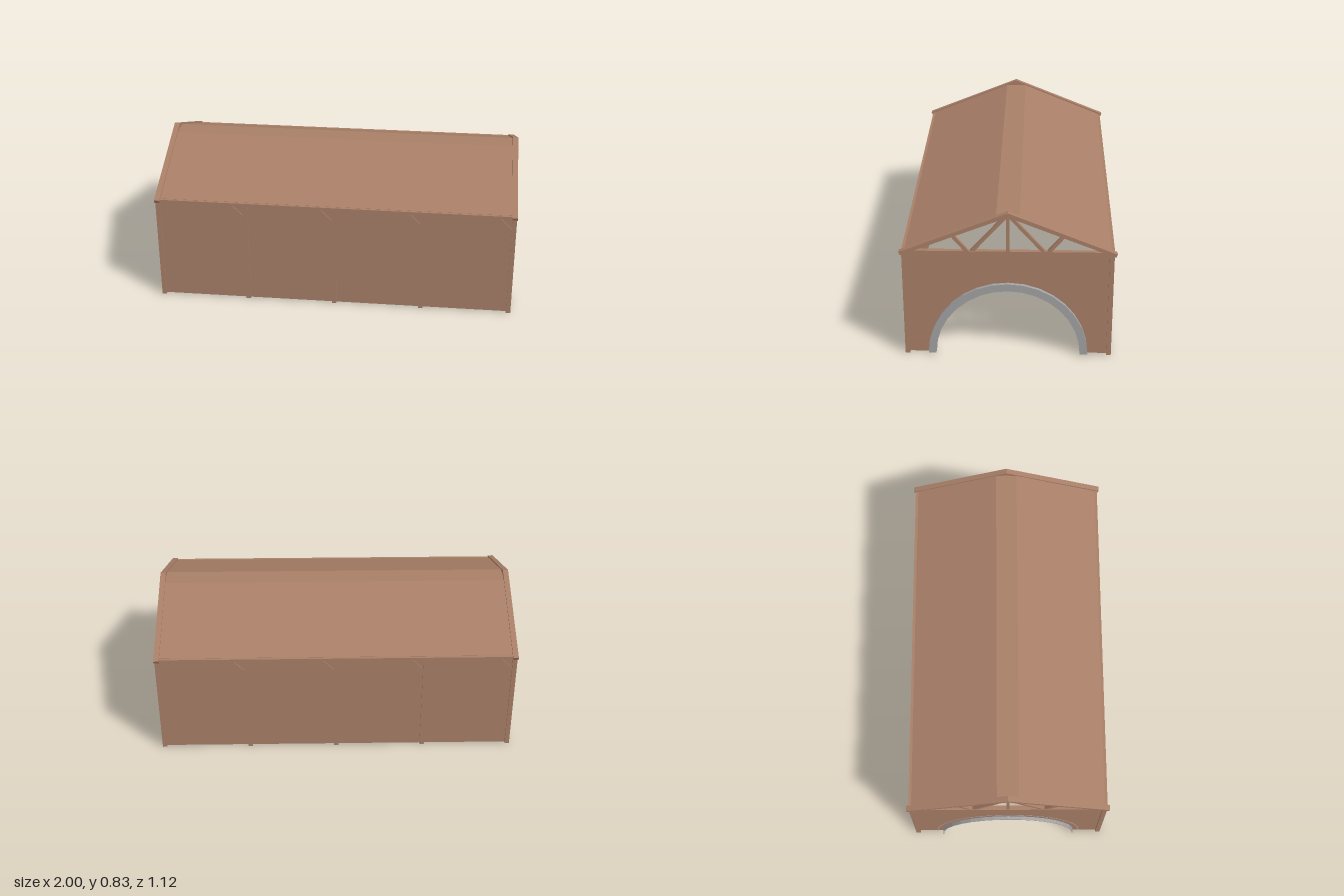
import * as THREE from 'three';

export function createModel() {
  const root = new THREE.Group();
  root.name = 'timberHall';
  const wood = new THREE.MeshStandardMaterial({ color: 0xa97f68 });
  wood.name = 'wood';
  const stone = new THREE.MeshStandardMaterial({ color: 0xa3a3a3 });
  stone.name = 'stone';

  const add = (parent, name, geo, mat = wood) => {
    const m = new THREE.Mesh(geo, mat);
    m.name = name;
    parent.add(m);
    return m;
  };
  const box = (parent, name, w, h, d, x, y, z) => {
    const m = add(parent, name, new THREE.BoxGeometry(w, h, d));
    m.position.set(x, y, z);
    return m;
  };
  // extrudes a (z, y) outline along x between x0 and x1
  const slab = (parent, name, pts, x0, x1, mat = wood) => {
    const shape = new THREE.Shape(pts.map(([z, y]) => new THREE.Vector2(z, y)));
    const geo = new THREE.ExtrudeGeometry(shape, { depth: x1 - x0, bevelEnabled: false });
    geo.rotateY(-Math.PI / 2).translate(x1, 0, 0);
    return add(parent, name, geo, mat);
  };
  // square-cut beam in the (z, y) plane
  const beam = (parent, name, a, b, t, x, w) => {
    const dz = b[0] - a[0], dy = b[1] - a[1];
    const m = box(parent, name, w, t, Math.hypot(dz, dy), x, (a[1] + b[1]) / 2, (a[0] + b[0]) / 2);
    m.rotation.x = -Math.atan2(dy, dz);
    return m;
  };
  const base = 0.006;
  const arc = (r) => Array.from({ length: 17 }, (_, i) => {
    const a = (i / 16) * Math.PI;
    return [r * Math.cos(a), base + r * Math.sin(a)];
  });

  // long walls with their eave plates, posts and braces
  for (const s of [1, -1]) {
    const side = new THREE.Group();
    side.name = s > 0 ? 'frontWall' : 'backWall';
    root.add(side);
    box(side, 'wallPanel', 1.96, 0.59, 0.008, 0, 0.301, s * 0.533);
    box(side, 'eavePlate', 1.985, 0.014, 0.027, 0, 0.599, s * 0.5345);
    for (let i = -2; i <= 2; i++) {
      const x = i * 0.49;
      box(side, 'post', 0.025, 0.595, 0.025, x, 0.2975, s * 0.533);
      for (const d of [1, -1]) {
        if (i * d === 2) continue;
        const brace = box(side, 'brace', 0.125, 0.015, 0.018, x + d * 0.047, 0.552, s * 0.533);
        brace.rotation.z = d * Math.PI / 4;
      }
    }
  }

  // end walls with arched openings
  for (const s of [1, -1]) {
    const outline = [[0.53, base], [0.53, 0.598], [-0.53, 0.598], [-0.53, base], ...arc(0.384).reverse()];
    slab(root, 'endWall', outline, s * 0.977 - 0.004, s * 0.977 + 0.004);
  }

  // stone arch linings, an open channel facing the same way at both ends
  for (const x of [0.96, -1]) {
    const arch = new THREE.Group();
    arch.name = 'stoneArch';
    const ring = (name, r0, r1, x0, x1) =>
      slab(arch, name, [...arc(r1), ...arc(r0).reverse()], x0, x1, stone);
    ring('archSoffit', 0.38, 0.386, 0, 0.04);
    ring('archFace', 0.38, 0.421, 0.034, 0.04);
    ring('archRim', 0.415, 0.421, 0.018, 0.04);
    arch.position.x = x;
    root.add(arch);
  }

  // roof sheet with a flat ridge
  slab(root, 'roof', [
    [0.533, 0.607], [0.06, 0.801], [-0.06, 0.801], [-0.533, 0.607],
    [-0.533, 0.6], [-0.06, 0.793], [0.06, 0.793], [0.533, 0.6],
  ], -0.97, 0.97);

  // open gable trusses
  for (const s of [1, -1]) {
    const truss = new THREE.Group();
    truss.name = 'gableTruss';
    root.add(truss);
    const x = s * 0.981;
    slab(truss, 'rafters', [
      [0, 0.833], [-0.56, 0.606], [-0.552, 0.588], [0, 0.81], [0.552, 0.588], [0.56, 0.606],
    ], x - 0.015, x + 0.015);
    box(truss, 'tieBeam', 0.024, 0.021, 1.07, x, 0.604, 0);
    box(truss, 'kingPost', 0.018, 0.205, 0.016, x, 0.71, 0);
    for (const m of [1, -1]) {
      beam(truss, 'longStrut', [m * 0.012, 0.808], [m * 0.19, 0.605], 0.018, x, 0.018);
      beam(truss, 'shortStrut', [m * 0.288, 0.705], [m * 0.205, 0.605], 0.018, x, 0.018);
    }
  }
  return root;
}
